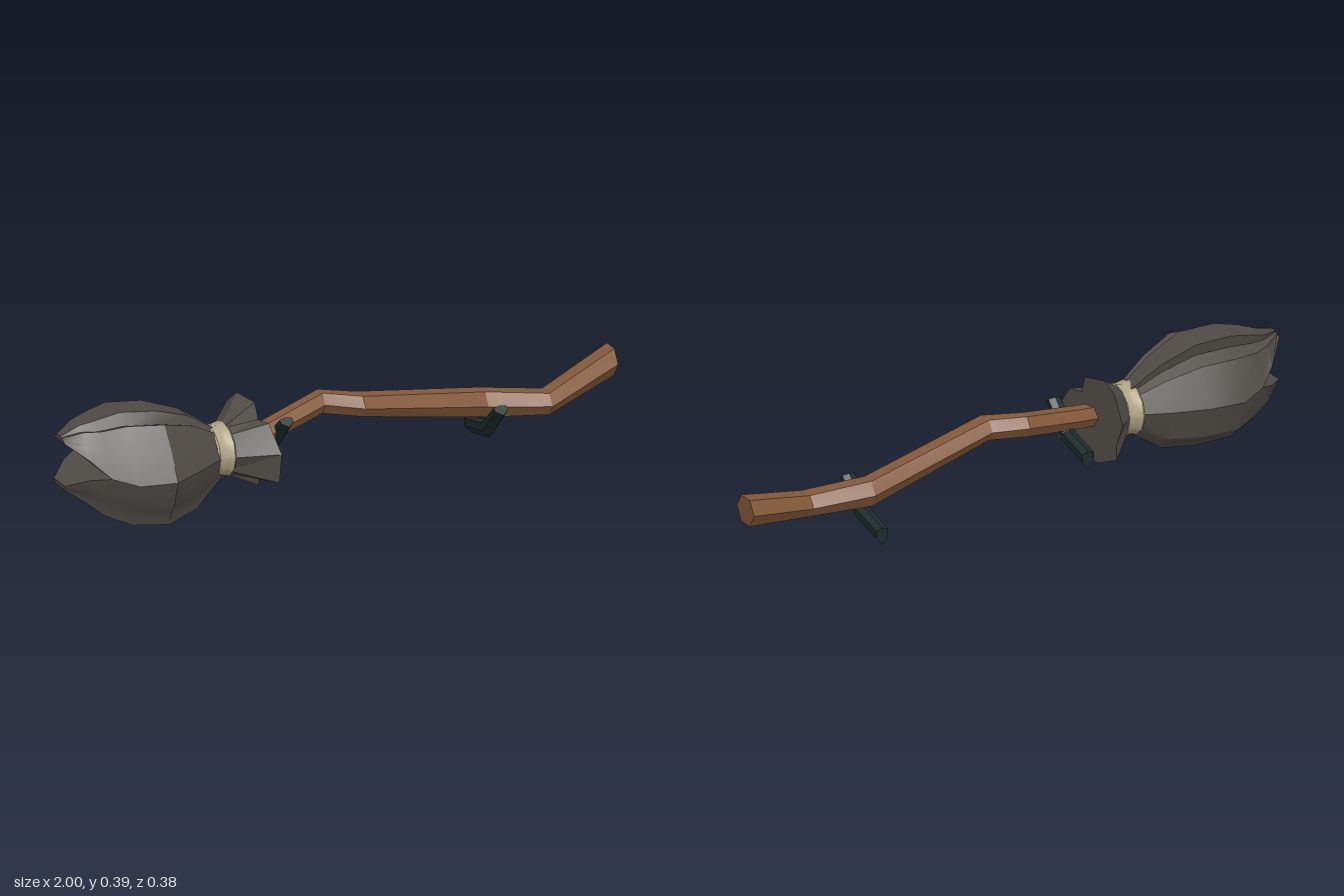
import * as THREE from 'three';
import { toCreasedNormals } from 'three/addons/utils/BufferGeometryUtils.js';

const material = (name, color) => {
  const m = new THREE.MeshStandardMaterial({ color });
  m.name = name;
  return m;
};

// Skin a row of closed [x, y, z] rings, cap both ends, face outwards.
function loft(rings, crease) {
  const n = rings[0].length;
  const pts = rings.flat().map((p) => new THREE.Vector3(...p));
  const tris = [];
  for (let r = 0; r < rings.length - 1; r++) {
    for (let i = 0; i < n; i++) {
      const a = r * n + i, b = r * n + ((i + 1) % n);
      tris.push([a, b, a + n], [b, b + n, a + n]);
    }
  }
  for (const end of [0, rings.length - 1]) {
    const centre = new THREE.Vector3();
    for (let i = 0; i < n; i++) centre.addScaledVector(pts[end * n + i], 1 / n);
    const c = pts.push(centre) - 1;
    for (let i = 0; i < n; i++) {
      const a = end * n + i, b = end * n + ((i + 1) % n);
      tris.push(end ? [a, b, c] : [b, a, c]);
    }
  }
  // a negative enclosed volume means the winding is inside out
  let volume = 0;
  const cross = new THREE.Vector3();
  for (const [a, b, c] of tris) volume += pts[a].dot(cross.crossVectors(pts[b], pts[c]));
  if (volume < 0) tris.forEach((t) => t.reverse());
  const geo = new THREE.BufferGeometry().setFromPoints(pts);
  geo.setIndex(tris.flat());
  return toCreasedNormals(geo, crease);
}

// Polygon ring standing across the x axis
const ring = (x, y, z, ry, rz, sides) =>
  Array.from({ length: sides }, (_, i) => {
    const a = (i / sides) * Math.PI * 2;
    return [x, y + ry * Math.sin(a), z + rz * Math.cos(a)];
  });

export function createModel() {
  const group = new THREE.Group();
  const wood = material('brown wood', 0x84593a);
  const straw = material('dark bristle', 0x4f4a45);
  const cord = material('cream cord', 0xb0a385);
  const iron = material('dark iron', 0x1c2b2c);

  const add = (name, geo, mat) => {
    const mesh = new THREE.Mesh(geo, mat);
    mesh.name = name;
    group.add(mesh);
  };

  // Crooked six-sided handle: x, y, z, radius up, radius sideways
  const stations = [
    [-0.42, 0.187, -0.02, 0.036, 0.036],
    [-0.27, 0.204, -0.038, 0.038, 0.037],
    [-0.04, 0.25, -0.094, 0.04, 0.038],
    [0.07, 0.242, -0.036, 0.04, 0.048],
    [0.53, 0.145, -0.09, 0.05, 0.045],
    [0.73, 0.129, -0.042, 0.042, 0.05],
    [1.0, 0.195, -0.125, 0.052, 0.054],
  ];
  add('handle', loft(stations.map((s) => ring(...s, 6)), 0.15), wood);

  // Bristle head in two tufts that part at the tip.
  // Stations: x, parting height, outer height, back z, front z
  const upper = [
    [-0.45, 0.19, 0.262, -0.09, 0.06],
    [-0.56, 0.19, 0.335, -0.135, 0.125],
    [-0.68, 0.19, 0.38, -0.17, 0.19],
    [-0.8, 0.19, 0.39, -0.18, 0.165],
    [-0.88, 0.215, 0.372, -0.155, 0.125],
    [-0.93, 0.265, 0.357, -0.125, 0.07],
    [-1.0, 0.322, 0.337, -0.05, 0.03],
  ];
  const lower = [
    [-0.45, 0.19, 0.112, -0.09, 0.06],
    [-0.56, 0.19, 0.04, -0.135, 0.125],
    [-0.68, 0.19, 0.024, -0.17, 0.19],
    [-0.8, 0.19, 0.035, -0.18, 0.165],
    [-0.88, 0.215, 0.07, -0.155, 0.125],
    [-0.93, 0.2, 0.11, -0.125, 0.07],
    [-1.0, 0.178, 0.162, -0.05, 0.03],
  ];
  // Ragged outlines: across (-1 back to 1 front), outward (0 to 1)
  const upperOutline = [[1, 0], [0.74, 0.48], [0.46, 0.86], [0.26, 0.8], [0.14, 1],
    [-0.48, 0.98], [-0.44, 0.78], [-0.7, 0.66], [-1, 0]];
  const lowerOutline = [[1, 0], [0.84, 0.56], [0.74, 0.7], [0.67, 0.98], [0.1, 0.86],
    [-0.45, 0.98], [-0.8, 0.66], [-1, 0]];
  const tuft = (rows, outline) => loft(rows.map(([x, y0, y1, z0, z1]) =>
    outline.map(([u, v]) => [x, y0 + (y1 - y0) * v, (z0 + z1) / 2 + (u * (z1 - z0)) / 2])), 0.5);
  add('upperBristles', tuft(upper, upperOutline), straw);
  add('lowerBristles', tuft(lower, lowerOutline), straw);

  // Flared, jagged collar of bristle ends: z, y
  const rim = [[-0.09, 0.335], [-0.015, 0.325], [0, 0.27], [0.045, 0.27], [0.1, 0.18],
    [0.09, 0.08], [0.017, 0.11], [0, 0.045], [-0.07, 0.045], [-0.14, 0.075],
    [-0.14, 0.13], [-0.165, 0.2], [-0.13, 0.3]];
  const neckRing = rim.map(([z, y]) => {
    const a = Math.atan2(y - 0.187, z + 0.02);
    return [-0.43, 0.187 + 0.078 * Math.sin(a), -0.018 + 0.078 * Math.cos(a)];
  });
  const rimRing = rim.map(([z, y]) => [-0.304 + 0.34 * z, y, z]);
  add('bristleCollar', loft([neckRing, rimRing], 0.3), straw);

  // Cord wound round the neck, pinched in the middle
  const wrap = [[-0.478, 0.086], [-0.472, 0.09], [-0.445, 0.084], [-0.42, 0.09], [-0.414, 0.084]];
  add('binding', loft(wrap.map(([x, r]) => ring(x, 0.187, -0.016, r, r, 12)), 0.55), cord);

  // Two bent wall hooks: path z, y, across-direction z, y, half depth
  const hookPath = [
    [-0.195, 0.031, 0, 1, 0.029],
    [-0.065, 0.062, -0.32, 0.95, 0.029],
    [0.028, 0.158, -0.8, 0.6, 0.019],
  ];
  const hookOutline = [[0, 1], [0.022, 0.75], [0.022, -0.1], [0, -1], [-0.022, -0.1], [-0.022, 0.75]];
  for (const [name, x, lift] of [['innerHook', -0.215, 0.096], ['outerHook', 0.54, 0]]) {
    const rings = hookPath.map(([z, y, dz, dy, h]) =>
      hookOutline.map(([u, v]) => [x + u, y + lift + dy * v * h, z + dz * v * h]));
    add(name, loft(rings, 0.15), iron);
  }

  return group;
}
